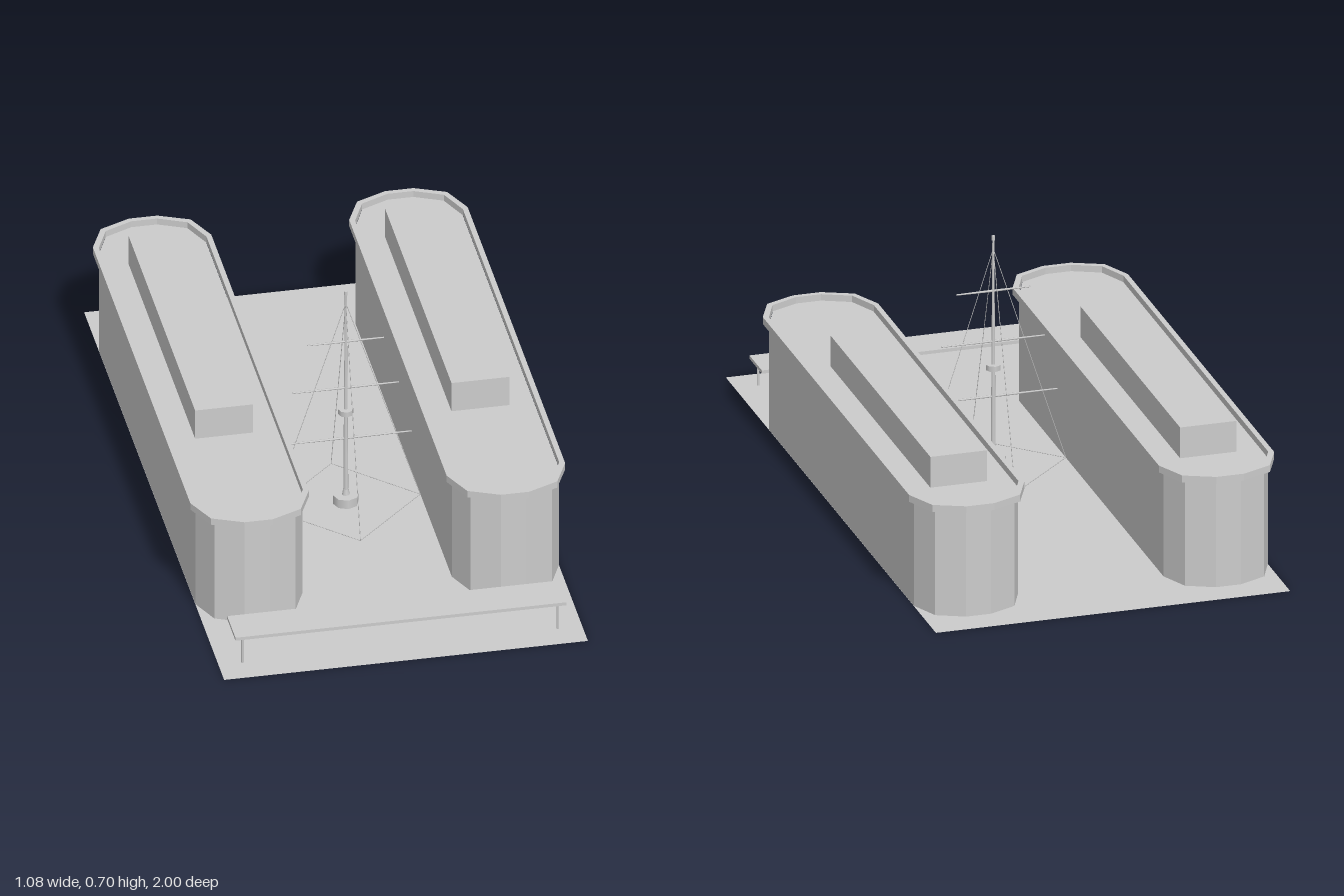
import * as THREE from 'three';

export function createModel() {
  const model = new THREE.Group();
  const stone = new THREE.MeshStandardMaterial({ color: 0xcccccc, side: THREE.DoubleSide });
  stone.name = 'pale grey';

  const add = (parent, name, geometry, x = 0, y = 0, z = 0) => {
    const mesh = new THREE.Mesh(geometry, stone);
    mesh.name = name;
    mesh.position.set(x, y, z);
    parent.add(mesh);
    return mesh;
  };
  const group = (parent, name, x = 0, y = 0, z = 0) => {
    const g = new THREE.Group();
    g.name = name;
    g.position.set(x, y, z);
    parent.add(g);
    return g;
  };

  // Long outline with five-sided rounded ends; inset shrinks it evenly
  const outline = (inset) => {
    const w = 0.171 - inset, end = 0.826 - inset, depth = 0.13 - inset * 0.5;
    const half = [[1, 0], [0.76, 0.7], [0.24, 1], [-0.24, 1], [-0.76, 0.7], [-1, 0]];
    const far = half.map(([x, d]) => new THREE.Vector2(x * w, end - depth + d * depth));
    return far.concat(far.map((p) => p.clone().negate()));
  };
  const slab = (inset, height, holeInset) => {
    const shape = new THREE.Shape(outline(inset));
    if (holeInset) shape.holes.push(new THREE.Path(outline(holeInset)));
    return new THREE.ExtrudeGeometry(shape, { depth: height, bevelEnabled: false }).rotateX(-Math.PI / 2);
  };

  // Thin rod between two points
  const rod = (parent, name, a, b, r) => {
    const dir = b.clone().sub(a);
    const mesh = add(parent, name, new THREE.CylinderGeometry(r, r, dir.length(), 4));
    mesh.position.copy(a).add(b).multiplyScalar(0.5);
    mesh.quaternion.setFromUnitVectors(new THREE.Vector3(0, 1, 0), dir.normalize());
  };

  // Ground
  add(model, 'ground plate', new THREE.PlaneGeometry(1.05, 2).rotateX(-Math.PI / 2));

  // Two long buildings with raised parapet and roof block
  for (const side of [-1, 1]) {
    const b = group(model, side > 0 ? 'left building' : 'right building', side * 0.37, 0, -0.1);
    add(b, 'walls', slab(0.0165, 0.325));
    add(b, 'parapet', slab(0, 0.021, 0.0155), 0, 0.323, 0);
    add(b, 'roof block', new THREE.BoxGeometry(0.167, 0.095, 0.95), 0, 0.3715, -0.143);
  }

  // Low canopy at the front on two posts
  const canopy = group(model, 'front canopy');
  add(canopy, 'canopy slab', new THREE.BoxGeometry(0.955, 0.01, 0.118), 0, 0.085, 0.868);
  for (const side of [-1, 1]) {
    add(canopy, 'canopy post', new THREE.CylinderGeometry(0.004, 0.004, 0.08, 8), side * 0.455, 0.04, 0.917);
  }

  // Mast with foot, lookout, cap and yards
  const mast = group(model, 'mast', 0, 0, 0.14);
  const drum = (name, rTop, rBottom, y0, y1) =>
    add(mast, name, new THREE.CylinderGeometry(rTop, rBottom, y1 - y0, 8), 0, (y0 + y1) / 2, 0);
  drum('mast foot', 0.037, 0.037, 0, 0.028);
  drum('mast collar', 0.008, 0.011, 0.028, 0.046);
  drum('mast pole', 0.003, 0.0075, 0.028, 0.695);
  drum('lookout', 0.022, 0.022, 0.297, 0.313);
  drum('mast cap', 0.005, 0.005, 0.692, 0.705);
  for (const [y, half] of [[0.215, 0.19], [0.383, 0.153], [0.537, 0.11]]) {
    for (const side of [-1, 1]) {
      const arm = add(mast, 'yard', new THREE.CylinderGeometry(0.002, 0.0035, half, 6), side * half / 2, y, 0);
      arm.rotation.z = -side * Math.PI / 2;
    }
  }

  // Four stays and the square line joining their feet
  const feet = [[0.215, 0], [0, 0.21], [-0.215, 0], [0, -0.21]].map(([x, z]) => new THREE.Vector3(x, 0.001, z));
  const top = new THREE.Vector3(0, 0.665, 0);
  feet.forEach((p, i) => {
    rod(mast, 'stay', p, top, 0.001);
    rod(mast, 'ground line', p, feet[(i + 1) % 4], 0.001);
  });

  return model;
}
